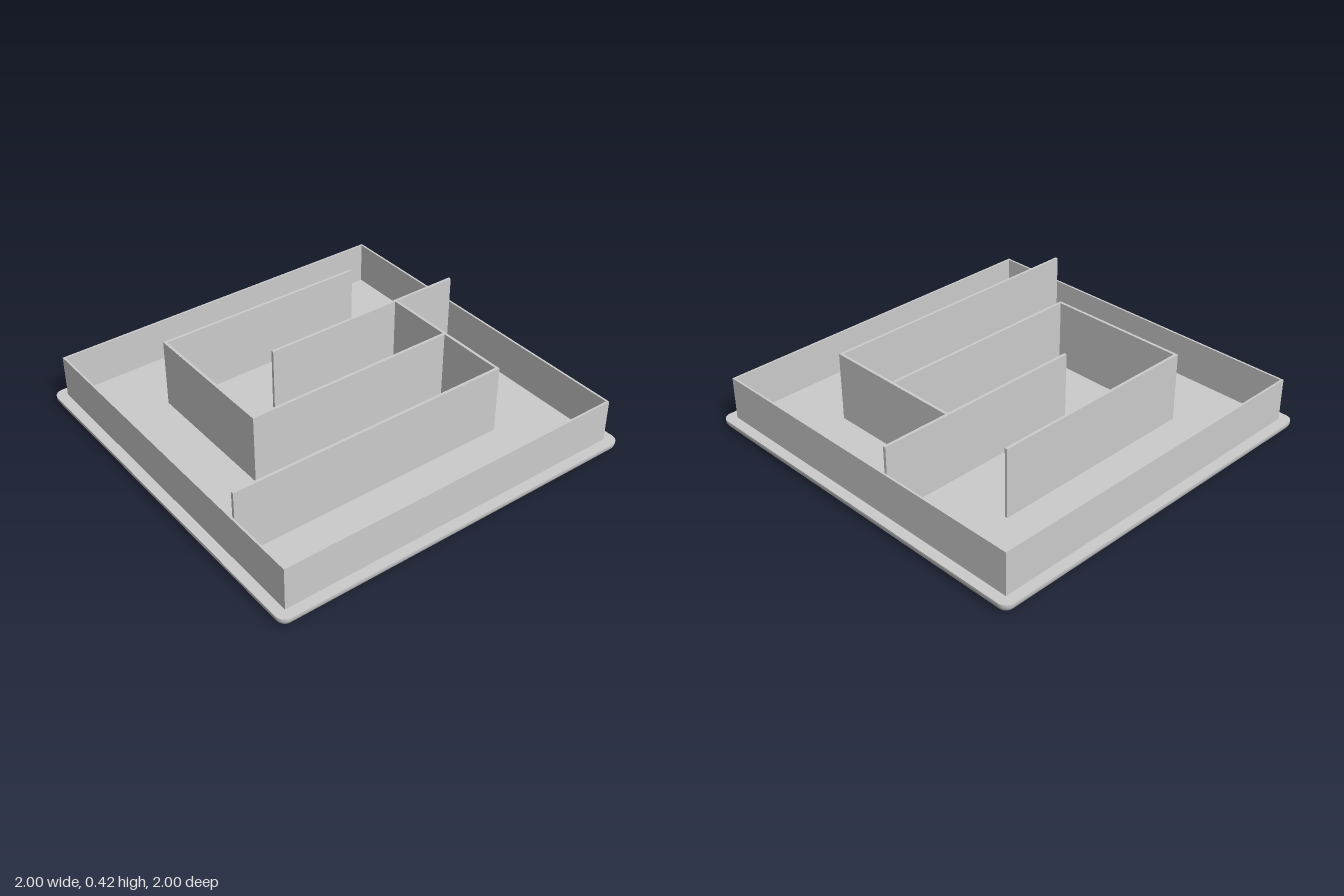
import * as THREE from 'three';

const TOP = 0.055;      // upper face of the base plate
const FILLET = 0.05;    // rounding of the lower edges
const STEPS = 10;       // segments per rounded corner
const material = new THREE.MeshStandardMaterial({ color: 0xcccccc });

// Rounded rectangle in x/z as points with their outward direction
function outline(hw, hd, r, cz = 0) {
  const pts = [];
  const corners = [[1, 1], [-1, 1], [-1, -1], [1, -1]];
  corners.forEach(([sx, sz], q) => {
    for (let i = 0; i <= STEPS; i++) {
      const t = (q + i / STEPS) * Math.PI / 2;
      const nx = Math.cos(t), nz = Math.sin(t);
      pts.push({ x: sx * (hw - r) + r * nx, z: cz + sz * (hd - r) + r * nz, nx, nz });
    }
  });
  return pts;
}

// d is how far the fillet has cut into the material
const plateEdge = d => outline(1 - d, 1 - d, Math.max(0.05 - d, 0.0005));
const slotEdge = d => outline(0.56 + d, 0.128 + d, 0.128 + d, 0.376);

// Edge surface: quarter-round from the bottom, then straight up to the top face
function filletedEdge(edge, sign) {
  const position = [], normal = [], index = [];
  const rows = [];
  for (let i = 0; i <= 10; i++) {
    const a = Math.PI / 2 * (1 - i / 10);
    rows.push({ d: FILLET * (1 - Math.cos(a)), y: FILLET * (1 - Math.sin(a)), a });
  }
  rows.push({ d: 0, y: TOP, a: 0 });
  let n = 0;
  rows.forEach(({ d, y, a }) => {
    const loop = edge(d);
    n = loop.length;
    for (const p of loop) {
      position.push(p.x, y, p.z);
      normal.push(sign * p.nx * Math.cos(a), -Math.sin(a), sign * p.nz * Math.cos(a));
    }
  });
  for (let i = 0; i < rows.length - 1; i++) {
    for (let j = 0; j < n; j++) {
      const k = (j + 1) % n;
      const a = i * n + j, b = a + n, c = (i + 1) * n + k, e = i * n + k;
      if (sign > 0) index.push(a, b, c, a, c, e);
      else index.push(a, c, b, a, e, c);
    }
  }
  const g = new THREE.BufferGeometry();
  g.setAttribute('position', new THREE.Float32BufferAttribute(position, 3));
  g.setAttribute('normal', new THREE.Float32BufferAttribute(normal, 3));
  g.setIndex(index);
  return g;
}

// Flat plate face with the slot cut out; up = 1 faces upward, -1 downward
function plateFace(d, y, up) {
  const to2d = p => new THREE.Vector2(p.x, -up * p.z);
  const shape = new THREE.Shape(plateEdge(d).map(to2d));
  shape.holes.push(new THREE.Path(slotEdge(d).map(to2d)));
  return new THREE.ShapeGeometry(shape).rotateX(-up * Math.PI / 2).translate(0, y, 0);
}

function square(Type, h) {
  return new Type([[-h, -h], [h, -h], [h, h], [-h, h]].map(([x, y]) => new THREE.Vector2(x, y)));
}

export function createModel() {
  const model = new THREE.Group();
  const add = (name, geometry, parent = model) => {
    const mesh = new THREE.Mesh(geometry, material);
    mesh.name = name;
    parent.add(mesh);
  };

  // Base plate with a long rounded slot
  const plate = new THREE.Group();
  plate.name = 'basePlate';
  model.add(plate);
  add('plateTop', plateFace(0, TOP, 1), plate);
  add('plateBottom', plateFace(FILLET, 0, -1), plate);
  add('plateRim', filletedEdge(plateEdge, 1), plate);
  add('slotRim', filletedEdge(slotEdge, -1), plate);

  // Thin square wall around the plate
  const frame = square(THREE.Shape, 0.945);
  frame.holes.push(square(THREE.Path, 0.934));
  add('outerWall', new THREE.ExtrudeGeometry(frame, { depth: 0.28 - TOP, bevelEnabled: false })
    .rotateX(-Math.PI / 2).translate(0, TOP, 0));

  // Taller inner partitions: name, x range, z range
  const partitions = [
    ['backPartition', -0.576, 0.574, -0.577, -0.562],
    ['rightPartition', -0.576, -0.561, -0.562, 0.18],
    ['middlePartition', -0.576, 0.559, 0.18, 0.195],
    ['leftPartition', 0.559, 0.574, -0.185, 0.57],
    ['leftSidePartition', -0.199, 0.934, -0.2, -0.185],
    ['frontPartition', -0.934, 0.559, 0.555, 0.57],
  ];
  for (const [name, x0, x1, z0, z1] of partitions) {
    const h = 0.42 - TOP;
    add(name, new THREE.BoxGeometry(x1 - x0, h, z1 - z0)
      .translate((x0 + x1) / 2, TOP + h / 2, (z0 + z1) / 2));
  }
  return model;
}
